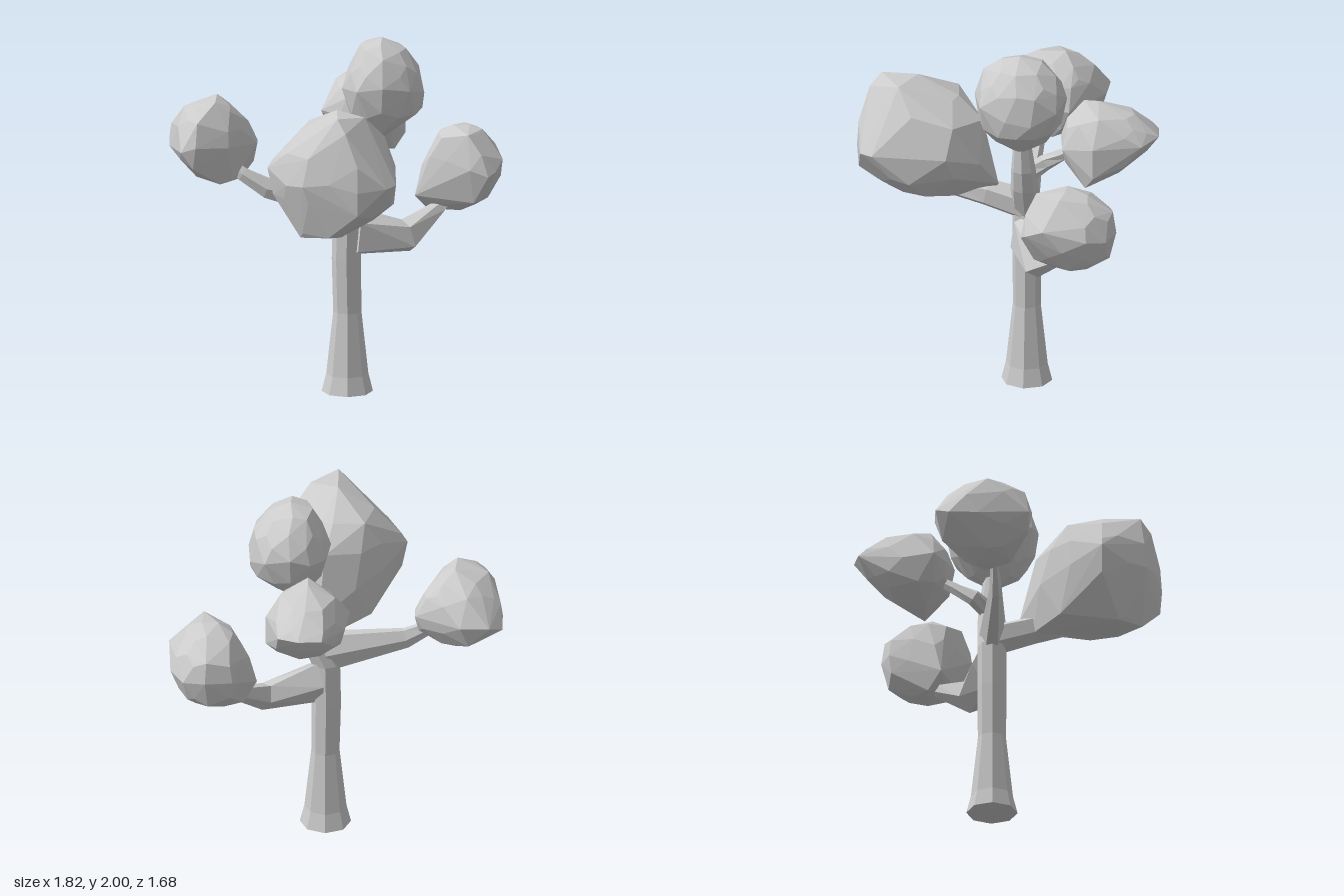
import * as THREE from 'three';
import { ConvexGeometry } from 'three/addons/geometries/ConvexGeometry.js';

const material = new THREE.MeshStandardMaterial({ color: 0xcccccc, flatShading: true });

// Limb lofted through rings [x, y, z, radius]; level keeps rings horizontal, width flattens, phase turns the ring
function limb(name, rings, { sides = 6, level = false, width = 1, phase = 0 } = {}) {
  const n = rings.length - 1;
  const geo = new THREE.CylinderGeometry(1, 1, n, sides, n, false, phase);
  const up = new THREE.Vector3(0, 1, 0);
  const centres = rings.map(([x, y, z]) => new THREE.Vector3(x, y, z));
  const turns = centres.map((c, i) => {
    const along = centres[Math.min(i + 1, n)].clone().sub(centres[Math.max(i - 1, 0)]).normalize();
    return new THREE.Quaternion().setFromUnitVectors(up, level ? up : along);
  });
  const pos = geo.attributes.position, p = new THREE.Vector3();
  for (let k = 0; k < pos.count; k++) {
    p.fromBufferAttribute(pos, k);
    const i = Math.round(p.y + n / 2);
    p.set(p.x, 0, p.z * width).multiplyScalar(rings[i][3]).applyQuaternion(turns[i]).add(centres[i]);
    pos.setXYZ(k, p.x, p.y, p.z);
  }
  geo.computeVertexNormals();
  const mesh = new THREE.Mesh(geo, material);
  mesh.name = name;
  return mesh;
}

// Range of the other coordinate where a closed outline crosses coordinate k = v
function span(outline, k, v) {
  const hits = [];
  const values = outline.map((q) => q[k]);
  const at = Math.min(Math.max(v, Math.min(...values)), Math.max(...values));
  outline.forEach((a, i) => {
    const b = outline[(i + 1) % outline.length];
    if ((a[k] - at) * (b[k] - at) > 0) return;
    const t = a[k] === b[k] ? 0 : (at - a[k]) / (b[k] - a[k]);
    hits.push(a[1 - k] + t * (b[1 - k] - a[1 - k]));
  });
  return [Math.min(...hits), Math.max(...hits)];
}

// Middle of the overlap of two ranges
const middle = ([a, b], [c, d]) => (Math.max(a, c) + Math.min(b, d)) / 2;

// Is a point inside a convex outline
function inside(outline, u, v) {
  const us = outline.map((q) => q[0]);
  if (u < Math.min(...us) || u > Math.max(...us)) return false;
  const [lo, hi] = span(outline, 0, u);
  return v >= lo && v <= hi;
}

// Faceted foliage: hull of three rims, front (x, y), side (z, y), plan (x, z), filled out between them
function foliage(name, { front, side, plan }) {
  const points = [
    ...front.map(([x, y]) => new THREE.Vector3(x, y, middle(span(plan, 0, x), span(side, 1, y)))),
    ...side.map(([z, y]) => new THREE.Vector3(middle(span(plan, 1, z), span(front, 1, y)), y, z)),
    ...plan.map(([x, z]) => new THREE.Vector3(x, middle(span(front, 0, x), span(side, 0, z)), z)),
  ];
  const box = new THREE.Box3().setFromPoints(points);
  const centre = box.getCenter(new THREE.Vector3()), half = box.getSize(new THREE.Vector3()).multiplyScalar(0.5);
  const fits = ({ x, y, z }) => inside(front, x, y) && inside(side, z, y) && inside(plan, x, z);
  for (const [a, b, c] of [[1, 1, 1], [2, 1, 1], [1, 2, 1], [1, 1, 2]]) {
    // Rounds the corner that the three outlines alone would leave
    const round = Math.max(Math.hypot(a, b), Math.hypot(b, c), Math.hypot(a, c)) / Math.hypot(a, b, c);
    for (let o = 0; o < 8; o++) {
      const ray = new THREE.Vector3(o & 1 ? a : -a, o & 2 ? b : -b, o & 4 ? c : -c).normalize().multiply(half);
      const at = (t) => ray.clone().multiplyScalar(t).add(centre);
      let t = 0;
      while (t < 1.5 && fits(at(t + 0.01))) t += 0.01;
      points.push(at(t * Math.min(1, round * 1.03)));
    }
  }
  const mesh = new THREE.Mesh(new ConvexGeometry(points), material);
  mesh.name = name;
  return mesh;
}

const CROWNS = {
  rightFoliage: {
    front: [[-0.91, 1.36], [-0.9, 1.47], [-0.83, 1.6], [-0.65, 1.65], [-0.58, 1.6], [-0.48, 1.5],
      [-0.43, 1.38], [-0.45, 1.27], [-0.52, 1.19], [-0.65, 1.17], [-0.77, 1.21]],
    side: [[0.11, 1.42], [0.07, 1.55], [-0.05, 1.64], [-0.2, 1.65], [-0.35, 1.55], [-0.42, 1.4],
      [-0.38, 1.27], [-0.2, 1.17], [0, 1.19], [0.09, 1.3]],
    plan: [[-0.91, -0.35], [-0.84, -0.42], [-0.68, -0.42], [-0.43, -0.25], [-0.43, -0.17],
      [-0.59, 0.04], [-0.77, 0.11], [-0.85, 0.09], [-0.91, -0.19]],
  },
  topFoliage: {
    front: [[0.03, 1.72], [0.07, 1.84], [0.13, 1.96], [0.25, 2], [0.38, 1.94], [0.45, 1.84],
      [0.48, 1.7], [0.47, 1.6], [0.34, 1.5], [0.22, 1.41], [0.08, 1.55]],
    side: [[0.17, 1.77], [0.12, 1.92], [0.02, 1.98], [-0.08, 2], [-0.2, 1.97], [-0.28, 1.9],
      [-0.34, 1.77], [-0.31, 1.62], [-0.22, 1.49], [-0.08, 1.41], [0.06, 1.48], [0.15, 1.63]],
    plan: [[0.03, -0.05], [0.06, -0.22], [0.14, -0.31], [0.25, -0.34], [0.39, -0.3], [0.47, -0.17],
      [0.48, -0.03], [0.4, 0.12], [0.25, 0.17], [0.11, 0.13]],
  },
  frontFoliage: {
    front: [[-0.38, 1.42], [-0.35, 1.27], [-0.2, 1.05], [0.02, 1.05], [0.2, 1.11], [0.31, 1.22],
      [0.32, 1.38], [0.26, 1.6], [0.15, 1.73], [0, 1.75], [-0.2, 1.63], [-0.35, 1.47]],
    side: [[0.84, 1.36], [0.83, 1.5], [0.78, 1.68], [0.72, 1.75], [0.52, 1.75], [0.29, 1.65],
      [0.15, 1.53], [0.1, 1.3], [0.06, 1.17], [0.13, 1.06], [0.6, 1.05], [0.73, 1.08], [0.83, 1.23]],
    plan: [[-0.38, 0.5], [-0.26, 0.33], [-0.1, 0.17], [0.1, 0.06], [0.2, 0.15], [0.32, 0.32],
      [0.32, 0.73], [0.27, 0.8], [0.11, 0.84], [-0.05, 0.8], [-0.19, 0.75], [-0.28, 0.65]],
  },
  leftFoliage: {
    front: [[0.43, 1.03], [0.47, 1.2], [0.56, 1.37], [0.64, 1.42], [0.73, 1.42], [0.8, 1.4], [0.91, 1.25],
      [0.9, 1.13], [0.83, 1], [0.68, 0.93], [0.5, 0.94]],
    side: [[-0.17, 1.18], [-0.19, 1.3], [-0.24, 1.4], [-0.4, 1.42], [-0.52, 1.4], [-0.66, 1.31],
      [-0.68, 1.19], [-0.64, 1.03], [-0.5, 0.95], [-0.42, 0.93], [-0.23, 1.02]],
    plan: [[0.43, -0.36], [0.51, -0.54], [0.56, -0.64], [0.71, -0.68], [0.83, -0.64], [0.9, -0.54],
      [0.91, -0.3], [0.87, -0.2], [0.83, -0.17], [0.73, -0.19]],
  },
  backFoliage: {
    front: [[-0.08, 1.5], [0, 1.65], [0.15, 1.72], [0.3, 1.67], [0.38, 1.52], [0.38, 1.35],
      [0.32, 1.27], [0.15, 1.27], [-0.03, 1.35]],
    side: [[-0.29, 1.5], [-0.33, 1.62], [-0.42, 1.72], [-0.5, 1.72], [-0.7, 1.66], [-0.84, 1.55], [-0.77, 1.45],
      [-0.62, 1.32], [-0.45, 1.27], [-0.32, 1.36]],
    plan: [[-0.08, -0.41], [-0.05, -0.58], [0.07, -0.82], [0.2, -0.84], [0.31, -0.76],
      [0.38, -0.5], [0.29, -0.32], [0.15, -0.3], [0.02, -0.34]],
  },
};

export function createModel() {
  const tree = new THREE.Group();
  tree.name = 'tree';

  // Trunk with flared foot, bending towards the top crown
  tree.add(limb('trunk', [
    [0.06, 0, -0.09, 0.14], [0.06, 0.1, -0.09, 0.115], [0.06, 0.45, -0.09, 0.077],
    [0.055, 0.75, -0.09, 0.08], [0.06, 1, -0.09, 0.08], [0.14, 1.17, -0.09, 0.078],
    [0.185, 1.3, -0.09, 0.068], [0.21, 1.5, -0.085, 0.045],
  ], { sides: 8, level: true }));

  // Bent branches, each ending inside its crown
  tree.add(limb('rightBranch', [
    [0.06, 1.07, -0.09, 0.125], [-0.38, 1.15, -0.08, 0.062], [-0.51, 1.225, -0.09, 0.042], [-0.64, 1.33, -0.13, 0.03]], { width: 0.55 }));
  tree.add(limb('leftBranch', [
    [0.1, 0.89, -0.1, 0.14], [0.39, 0.846, -0.2, 0.096], [0.57, 0.965, -0.37, 0.04], [0.65, 1.05, -0.42, 0.025]],
  { sides: 5, width: 0.72, phase: -Math.PI / 2 }));
  tree.add(limb('frontBranch', [
    [0.06, 1.04, -0.08, 0.09], [0.06, 1.1, 0.13, 0.08], [0.05, 1.115, 0.28, 0.06], [0.03, 1.25, 0.4, 0.03]]));
  tree.add(limb('backBranch', [
    [0.15, 1.24, -0.09, 0.05], [0.05, 1.29, -0.19, 0.045], [0.1, 1.37, -0.3, 0.035], [0.14, 1.45, -0.42, 0.025]]));

  // Foliage crowns
  for (const [name, outlines] of Object.entries(CROWNS)) tree.add(foliage(name, outlines));
  return tree;
}
